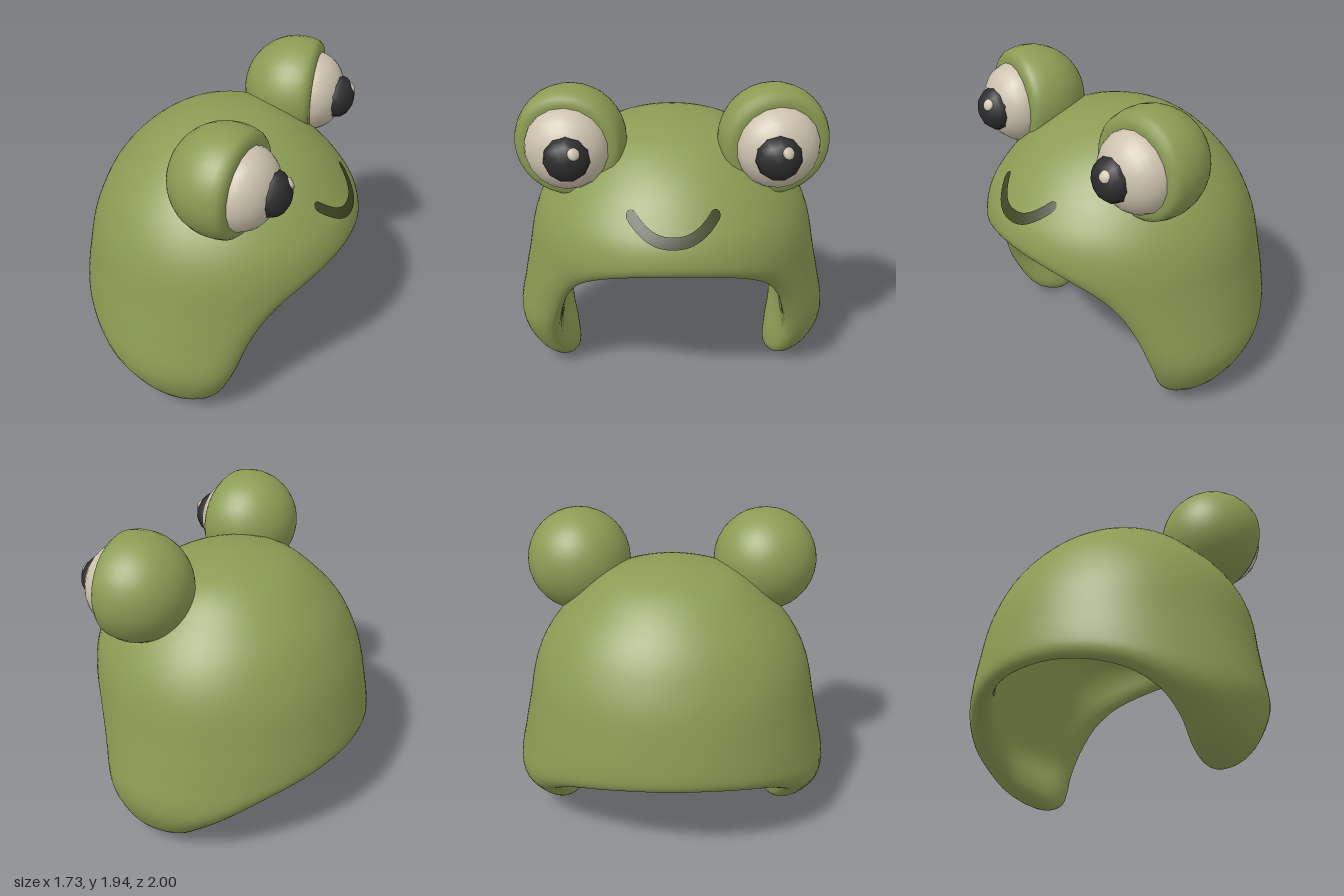
import * as THREE from 'three';

const mat = (name, color) => new THREE.MeshStandardMaterial({ name, color });

// Smooth cubic interpolation through keys (xs ascending)
function smooth(xs, ys, x) {
  const n = xs.length - 1;
  const slope = i => {
    const a = Math.max(i - 1, 0), b = Math.min(i + 1, n);
    return (ys[b] - ys[a]) / (xs[b] - xs[a]);
  };
  x = Math.min(Math.max(x, xs[0]), xs[n]);
  let i = 0;
  while (i < n - 1 && x > xs[i + 1]) i++;
  const h = xs[i + 1] - xs[i], t = (x - xs[i]) / h, u = 1 - t;
  return ys[i] * (1 + 2 * t) * u * u + slope(i) * h * t * u * u
    + ys[i + 1] * t * t * (3 - 2 * t) - slope(i + 1) * h * t * t * u;
}

// Half-widths of the cap by height: side (z), front (+x) and back (-x)
const TOP = 1.69, CEILING = 1.49;
const heights = [0, 0.15, 0.35, 0.6, 0.8, 1.0, 1.15, 1.3, 1.45, 1.6, TOP];
const sq = a => a.map(v => v * v);
const side = sq([0.84, 0.93, 1.0, 0.96, 0.918, 0.88, 0.83, 0.74, 0.6, 0.42, 0]);
const front = sq([0.64, 0.72, 0.78, 0.81, 0.84, 0.867, 0.84, 0.745, 0.61, 0.39, 0]);
const back = sq([0.66, 0.76, 0.86, 0.87, 0.845, 0.805, 0.75, 0.675, 0.555, 0.37, 0]);
const half = (table, y) => Math.sqrt(Math.max(smooth(heights, table, y), 0));

function outer(phi, y) {
  const c = Math.cos(phi), s = Math.sin(phi);
  const X = half(c > 0 ? front : back, y), S = half(side, y);
  return X < 1e-4 || S < 1e-4 ? 0 : 1 / Math.hypot(c / X, s / S);
}

// The lining is thickest in the ear flaps and under the crown
function inner(phi, y) {
  const flap = Math.sin(phi) ** (Math.cos(phi) > 0 ? 8 : 4);
  const r = outer(phi, y + (TOP - CEILING) * (y / CEILING) ** 3);
  return r * (0.88 - 0.17 * flap) - 0.15 * flap * Math.max(0, 0.35 - y);
}

// Height of the lower edge by angle from the front, dipping into ear flaps
const rimAngles = [-22, 0, 22, 41, 52, 59, 64, 68.5, 74, 86, 102, 113, 125, 139, 160, 180, 200];
const rimHeights = [0.945, 0.985, 0.945, 0.83, 0.68, 0.5, 0.31, 0.13, 0.04, 0, 0.07, 0.21, 0.35, 0.45, 0.515, 0.53, 0.515];
const rimHeight = phi => smooth(rimAngles, rimHeights, Math.abs(phi) * 180 / Math.PI);
const ARC = 0.85;
const rimPath = [];
for (let deg = -20; deg <= 200; deg += 0.25) {
  rimPath.push([deg * Math.PI / 180 * ARC, smooth(rimAngles, rimHeights, deg)]);
}

// How far the wall has swollen to full thickness, from 0 at the edge to 1
function swell(phi, y) {
  const width = 0.08 + 0.11 * Math.sin(phi) ** 4, a = Math.abs(phi) * ARC;
  let d2 = width * width;
  for (const [u, v] of rimPath) d2 = Math.min(d2, (a - u) ** 2 + (y - v) ** 2);
  return Math.sqrt(1 - (1 - Math.sqrt(d2) / width) ** 2);
}

// One section of the cap: down the outside to the edge, then up the inside
function section(phi) {
  const pts = [], R = rimHeight(phi), rows = 36;
  const ease = t => (1 - Math.cos(Math.PI * t)) / 2;
  for (let i = 0; i <= 2 * rows; i++) {
    const outside = i <= rows;
    const y = outside ? TOP - (TOP - R) * ease(i / rows) : R + (CEILING - R) * ease(i / rows - 1);
    const ro = outer(phi, y), ri = inner(phi, y), mid = (ro + ri) / 2;
    const tip = i === 0 || i === 2 * rows;
    pts.push([tip ? 0 : mid + (outside ? 1 : -1) * (ro - ri) / 2 * swell(phi, y), y]);
  }
  return pts;
}

function capGeometry() {
  const n = 144, pos = [], index = [];
  let rows = 0;
  for (let j = 0; j < n; j++) {
    const phi = (j / n * 2 - 1) * Math.PI, pts = section(phi);
    rows = pts.length;
    for (const [r, y] of pts) pos.push(r * Math.cos(phi), y, r * Math.sin(phi));
  }
  for (let j = 0; j < n; j++) for (let i = 0; i < rows - 1; i++) {
    const a = j * rows + i, b = ((j + 1) % n) * rows + i;
    if (i > 0) index.push(a, b, a + 1);
    if (i < rows - 2) index.push(b, b + 1, a + 1);
  }
  return surface(pos, index);
}

function surface(pos, index) {
  const g = new THREE.BufferGeometry();
  g.setAttribute('position', new THREE.Float32BufferAttribute(pos, 3));
  g.setIndex(index);
  g.computeVertexNormals();
  return g;
}

// Curved ribbon with round ends lying just above the front of the cap
function smileGeometry() {
  const pos = [], index = [], n = 48, across = 4;
  for (let i = 0; i <= n; i++) {
    const u = -Math.cos(i / n * Math.PI), m = Math.abs(u);
    const z0 = 0.255 * u, y0 = 1.199 + 0.138 * m ** 2.4;
    const slope = 0.331 * Math.sign(u) * m ** 1.4 / 0.255, len = Math.hypot(1, slope);
    const q = Math.min(1, (1 - m) / 0.075);
    const w = 0.031 * Math.sqrt(1 - (1 - q) ** 2);
    for (let k = 0; k <= across; k++) {
      const d = w * (2 * k / across - 1);
      const z = z0 - d * slope / len, y = y0 + d / len;
      const x = half(front, y) * Math.sqrt(1 - z * z / smooth(heights, side, y));
      pos.push(x + 0.009, y, z);
    }
  }
  for (let i = 0; i < n; i++) for (let k = 0; k < across; k++) {
    const a = i * (across + 1) + k, b = a + across + 1;
    index.push(a, a + 1, b, b, a + 1, b + 1);
  }
  return surface(pos, index);
}

export function createModel() {
  const green = mat('frog green', 0x8b9c54);
  const cream = mat('eye cream', 0xcdc2ae);
  const black = mat('pupil black', 0x2d2d2f);
  const dark = mat('smile dark green', 0x3d4424);
  dark.side = THREE.DoubleSide;

  const model = new THREE.Group();
  model.name = 'frogHat';
  const add = (parent, name, geometry, material, x = 0, y = 0, z = 0) => {
    const m = new THREE.Mesh(geometry, material);
    m.name = name;
    m.position.set(x, y, z);
    parent.add(m);
    return m;
  };

  add(model, 'cap', capGeometry(), green);
  add(model, 'smile', smileGeometry(), dark);

  // Eye socket: a ball cut flat at the front with a softened edge
  const profile = [];
  for (let i = 0; i <= 18; i++) {
    const a = -Math.PI / 2 + i / 18 * (Math.PI / 2 + 0.33);
    profile.push(new THREE.Vector2(i ? 0.33 * Math.cos(a) : 0, 0.33 * Math.sin(a)));
  }
  profile.push(new THREE.Vector2(0.29, 0.132), new THREE.Vector2(0.25, 0.137), new THREE.Vector2(0, 0.137));
  const socket = new THREE.LatheGeometry(profile, 32).rotateZ(-Math.PI / 2);
  const white = new THREE.SphereGeometry(0.25, 18, 14).rotateZ(-Math.PI / 2).scale(0.78, 1, 1);
  const pupil = new THREE.SphereGeometry(0.137, 11, 8).rotateZ(-Math.PI / 2).scale(0.8, 1, 1);
  const glint = new THREE.SphereGeometry(0.037, 8, 6).scale(0.45, 1, 1);

  for (const s of [1, -1]) {
    const eye = new THREE.Group();
    eye.name = s > 0 ? 'leftEye' : 'rightEye';
    eye.position.set(0.265, 1.61, 0.597 * s);
    add(eye, 'eyeSocket', socket, green).rotation.y = -0.12 * s;
    add(eye, 'eyeWhite', white, cream, 0.115, -0.01, 0.015 * s).rotation.y = -0.12 * s;
    add(eye, 'pupil', pupil, black, 0.272, -0.015, 0.003 * s);
    add(eye, 'eyeGlint', glint, cream, 0.355, 0.045, -0.045).rotation.set(0, 0.4, 0.5);
    model.add(eye);
  }
  return model;
}
